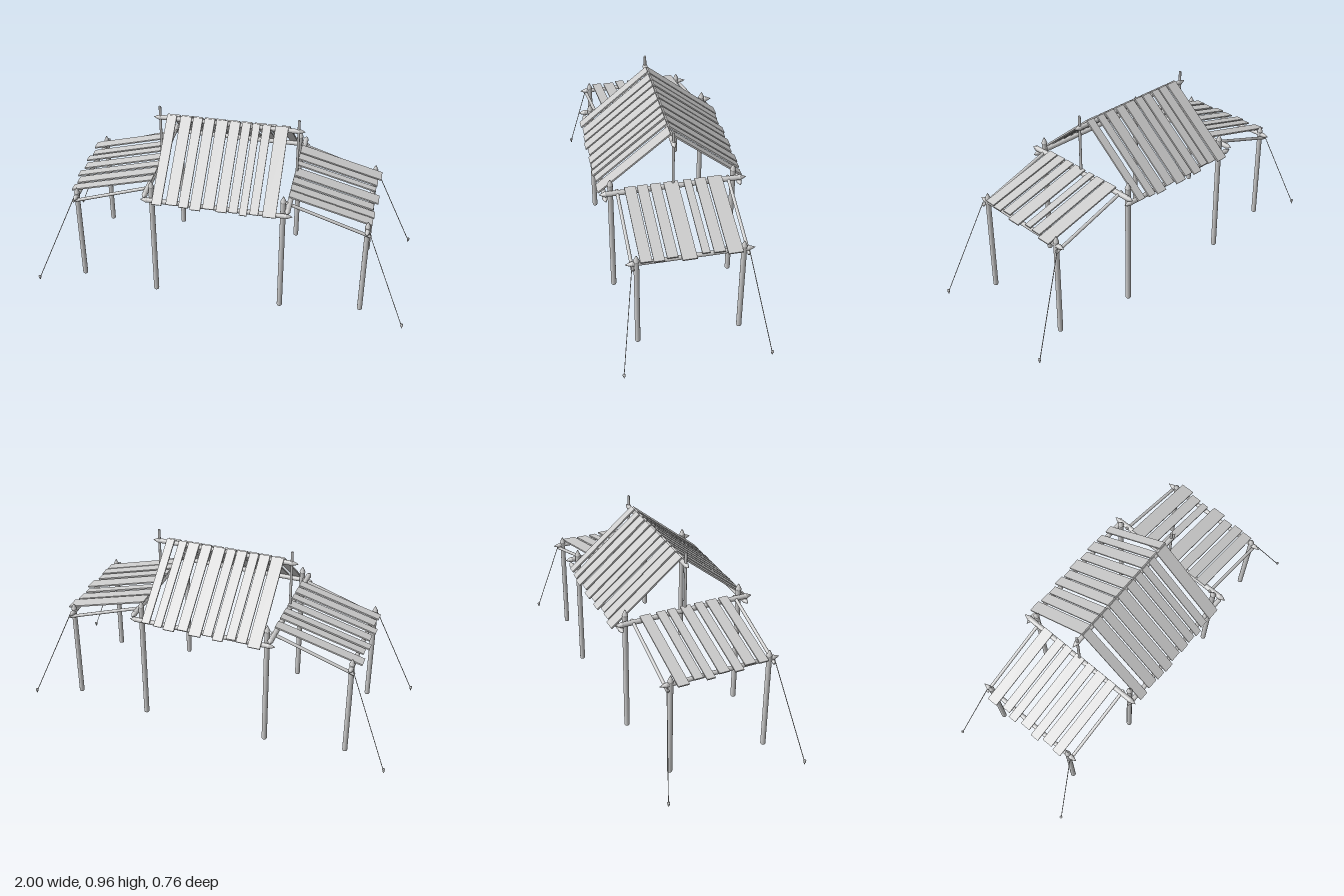
import * as THREE from 'three';

const material = new THREE.MeshStandardMaterial({ color: 0xcccccc });
const UP = new THREE.Vector3(0, 1, 0);

// Lays a geometry that runs along +y from the origin between two points
function place(geometry, name, from, to) {
  const a = new THREE.Vector3(...from), b = new THREE.Vector3(...to);
  const mesh = new THREE.Mesh(geometry, material);
  mesh.name = name;
  mesh.position.copy(a);
  mesh.quaternion.setFromUnitVectors(UP, b.sub(a).normalize());
  return mesh;
}

const span = (a, b) => new THREE.Vector3(...a).distanceTo(new THREE.Vector3(...b));

// Round pole turned from a profile; each end may be cut to a flared point
function pole(name, from, to, r, startPoint, endPoint, sides = 16) {
  const len = span(from, to), tip = 0.032;
  const p = [];
  if (startPoint) p.push([0.001, 0], [r * 0.65, tip * 0.5], [r * 1.12, tip], [r, tip + 0.008]);
  else p.push([0.0001, 0], [r * 0.85, 0], [r, r * 0.3]);
  if (endPoint) p.push([r, len - tip - 0.008], [r * 1.12, len - tip], [r * 0.65, len - tip * 0.5], [0.001, len]);
  else p.push([r, len - r * 0.3], [r * 0.85, len], [0.0001, len]);
  // Doubled points keep the creases sharp
  const pts = [];
  for (let i = 0; i < p.length; i++) {
    const v = new THREE.Vector2(...p[i]);
    pts.push(v);
    if (i > 0 && i < p.length - 1) pts.push(v.clone());
  }
  return place(new THREE.LatheGeometry(pts, sides), name, from, to);
}

// Main frame: posts, cross beams, king posts, eaves and ridge
function mainFrame() {
  const g = new THREE.Group();
  g.name = 'mainFrame';
  for (const sx of [-1, 1]) {
    for (const sz of [-1, 1]) {
      g.add(pole('mainPost', [sx * 0.34, 0, sz * 0.315], [sx * 0.34, 0.71, sz * 0.315], 0.014, false, true));
    }
    g.add(pole('crossBeam', [sx * 0.367, 0.643, -0.376], [sx * 0.367, 0.643, 0.376], 0.0135, true, true));
    g.add(pole('kingPost', [sx * 0.364, 0.64, 0], [sx * 0.364, 0.965, 0], 0.007, false, false, 12));
  }
  for (const sz of [-1, 1]) {
    g.add(pole('eaveBeam', [-0.392, 0.612, sz * 0.345], [0.392, 0.612, sz * 0.345], 0.0125, true, true));
  }
  g.add(pole('ridgeBeam', [-0.398, 0.9, 0], [0.398, 0.9, 0], 0.0125, true, true));
  return g;
}

// Pitched roof: planks of uneven width and length, [x from, x to, length]
const frontPlanks = [
  [-0.325, -0.274, 0.486], [-0.252, -0.194, 0.478], [-0.185, -0.136, 0.484], [-0.126, -0.072, 0.49],
  [-0.062, -0.003, 0.476], [0.008, 0.062, 0.484], [0.072, 0.117, 0.48], [0.127, 0.165, 0.488],
  [0.179, 0.222, 0.478], [0.244, 0.311, 0.482]];
const backPlanks = [
  [-0.323, -0.259, 0.492], [-0.249, -0.195, 0.478], [-0.189, -0.142, 0.472], [-0.126, -0.073, 0.492],
  [-0.066, -0.018, 0.478], [-0.008, 0.056, 0.492], [0.067, 0.12, 0.476], [0.136, 0.195, 0.49],
  [0.206, 0.249, 0.482], [0.275, 0.318, 0.476]];

function roof() {
  const g = new THREE.Group();
  g.name = 'roof';
  [[1, frontPlanks], [-1, backPlanks]].forEach(([sz, planks]) => {
    for (const [x0, x1, len] of planks) {
      const geometry = new THREE.BoxGeometry(x1 - x0, len, 0.009).translate(0, len / 2, 0);
      const plank = new THREE.Mesh(geometry, material);
      plank.name = 'roofPlank';
      plank.position.set((x0 + x1) / 2, 0.92, 0.002 * sz);
      plank.rotation.x = sz * (Math.PI / 2 + Math.atan2(0.313, 0.376));
      g.add(plank);
    }
  });
  return g;
}

// Side awning planks, [z from, z to, outer end x]
const rightPlanks = [
  [0.19, 0.247, 0.785], [0.13, 0.183, 0.79], [0.064, 0.117, 0.78], [-0.025, 0.048, 0.802],
  [-0.092, -0.053, 0.78], [-0.166, -0.11, 0.785], [-0.25, -0.176, 0.802]];
const leftPlanks = [
  [0.19, 0.24, 0.8], [0.117, 0.175, 0.792], [0.053, 0.1, 0.813], [-0.025, 0.03, 0.8],
  [-0.097, -0.053, 0.815], [-0.155, -0.108, 0.798], [-0.245, -0.187, 0.813]];

// Peg driven in point first, with a collar and a cap
const pegProfile = [[0.0005, 0], [0.006, 0.014], [0.0045, 0.016], [0.0045, 0.019], [0.0075, 0.02], [0.0075, 0.026], [0.0001, 0.027]]
  .map(([r, y]) => new THREE.Vector2(r, y));

function awning(sx, planks, name) {
  const g = new THREE.Group();
  g.name = name;
  g.add(pole('awningBeam', [sx * 0.765, 0.528, -0.318], [sx * 0.765, 0.528, 0.318], 0.0115, true, true));
  for (const sz of [-1, 1]) {
    g.add(pole('awningPost', [sx * 0.765, 0, sz * 0.263], [sx * 0.765, 0.578, sz * 0.263], 0.0135, false, true));
    g.add(pole('awningRafter', [sx * 0.35, 0.65, sz * 0.284], [sx * 0.785, 0.503, sz * 0.284], 0.0085, false, false, 12));
    const top = [sx * 0.778, 0.522, sz * 0.287], foot = [sx * 0.99, 0.018, sz * 0.372];
    const len = span(top, foot);
    g.add(place(new THREE.CylinderGeometry(0.002, 0.002, len, 6).translate(0, len / 2, 0), 'guyRope', top, foot));
    const peg = new THREE.Mesh(new THREE.LatheGeometry(pegProfile, 10), material);
    peg.name = 'groundPeg';
    peg.position.set(sx * 0.992, 0, sz * 0.372);
    g.add(peg);
  }
  // Planks slope down and outward
  const slope = Math.atan2(0.12, 0.44);
  for (const [z0, z1, outer] of planks) {
    const len = (outer - 0.357) / Math.cos(slope);
    const plank = new THREE.Mesh(new THREE.BoxGeometry(len, 0.008, z1 - z0).translate(sx * len / 2, 0, 0), material);
    plank.name = 'awningPlank';
    plank.position.set(sx * 0.357, 0.662, (z0 + z1) / 2);
    plank.rotation.z = -sx * slope;
    g.add(plank);
  }
  return g;
}

export function createModel() {
  const model = new THREE.Group();
  model.name = 'marketShelter';
  model.add(mainFrame(), roof(), awning(1, rightPlanks, 'leftAwning'), awning(-1, leftPlanks, 'rightAwning'));
  return model;
}
